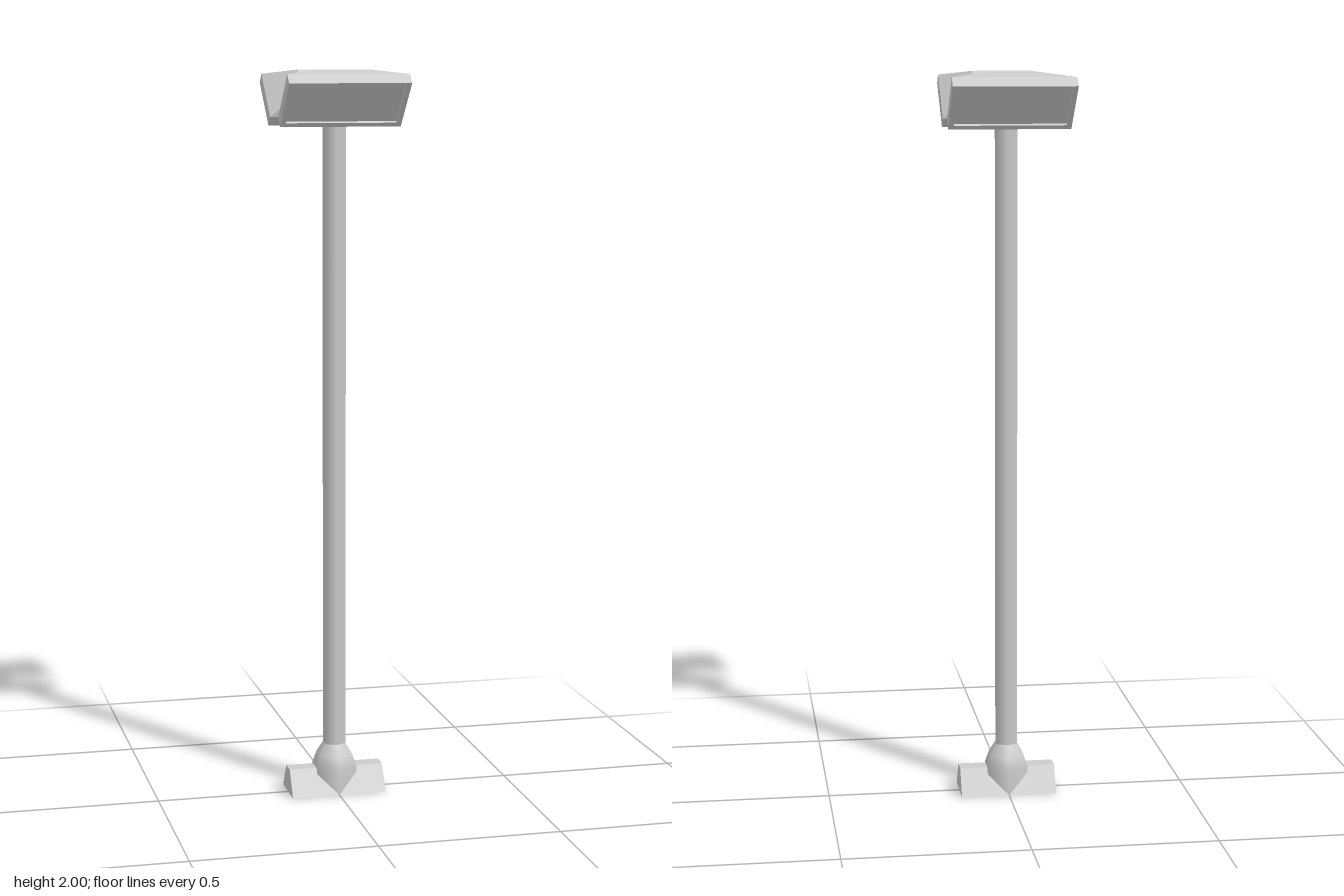
import * as THREE from 'three';

const grey = new THREE.MeshStandardMaterial({ color: 0xcccccc });
const greyFlat = new THREE.MeshStandardMaterial({ color: 0xcccccc, flatShading: true, side: THREE.DoubleSide });

function add(parent, name, geometry, material) {
  const mesh = new THREE.Mesh(geometry, material);
  mesh.name = name;
  parent.add(mesh);
  return mesh;
}

// Lofts rectangles [half width, half height, z, y offset] along +z with flat faces
function loftRectangles(sections, capBack) {
  const rings = sections.map(([w, h, z, dy = 0]) =>
    [[-w, dy - h, z], [w, dy - h, z], [w, dy + h, z], [-w, dy + h, z]]);
  const positions = [];
  const quad = (a, b, c, d) => [a, b, c, a, c, d].forEach((p) => positions.push(...p));
  for (let r = 0; r < rings.length - 1; r++) {
    const a = rings[r], b = rings[r + 1];
    for (let i = 0; i < 4; i++) {
      const j = (i + 1) % 4;
      quad(a[i], a[j], b[j], b[i]);
    }
  }
  quad(...rings[rings.length - 1]);
  if (capBack) quad(...rings[0].slice().reverse());
  const geometry = new THREE.BufferGeometry();
  geometry.setAttribute('position', new THREE.Float32BufferAttribute(positions, 3));
  geometry.computeVertexNormals();
  return geometry;
}

export function createModel() {
  const model = new THREE.Group();
  model.name = 'floodlightMast';

  // Six-sided pole
  const pole = add(model, 'pole', new THREE.CylinderGeometry(0.033, 0.033, 1.87, 6), grey);
  pole.position.y = 1.055;

  // Six-sided socket swelling around the pole foot
  const profile = [[0.065, 0], [0.065, 0.07], [0.052, 0.105], [0.033, 0.135]]
    .map(([r, y]) => new THREE.Vector2(r, y));
  add(model, 'socket', new THREE.LatheGeometry(profile, 6), grey);
  const underside = add(model, 'socketUnderside', new THREE.CircleGeometry(0.065, 6, Math.PI / 2), grey);
  underside.rotation.x = Math.PI / 2;

  // Wedge-shaped foot, open underneath
  const foot = add(model, 'foot', loftRectangles([[0.133, 0.065, 0], [0.133, 0.023, 0.07]], false), greyFlat);
  foot.rotation.x = -Math.PI / 2;

  // Two lamp heads tilted down, back to back, each with a recessed lens
  const headGeometry = loftRectangles([
    [0.08, 0.039, -0.0955, -0.0035],
    [0.165, 0.0815, -0.033],
    [0.165, 0.0815, 0],
    [0.151, 0.067, 0],
    [0.151, 0.067, -0.006],
  ], true);
  for (const [name, turn] of [['frontLamp', 0], ['backLamp', Math.PI]]) {
    const arm = new THREE.Group();
    arm.name = name;
    arm.rotation.y = turn;
    const head = add(arm, name + 'Head', headGeometry, greyFlat);
    head.position.set(0, 1.9075, 0.1325);
    head.rotation.x = Math.PI / 4;
    model.add(arm);
  }
  return model;
}
